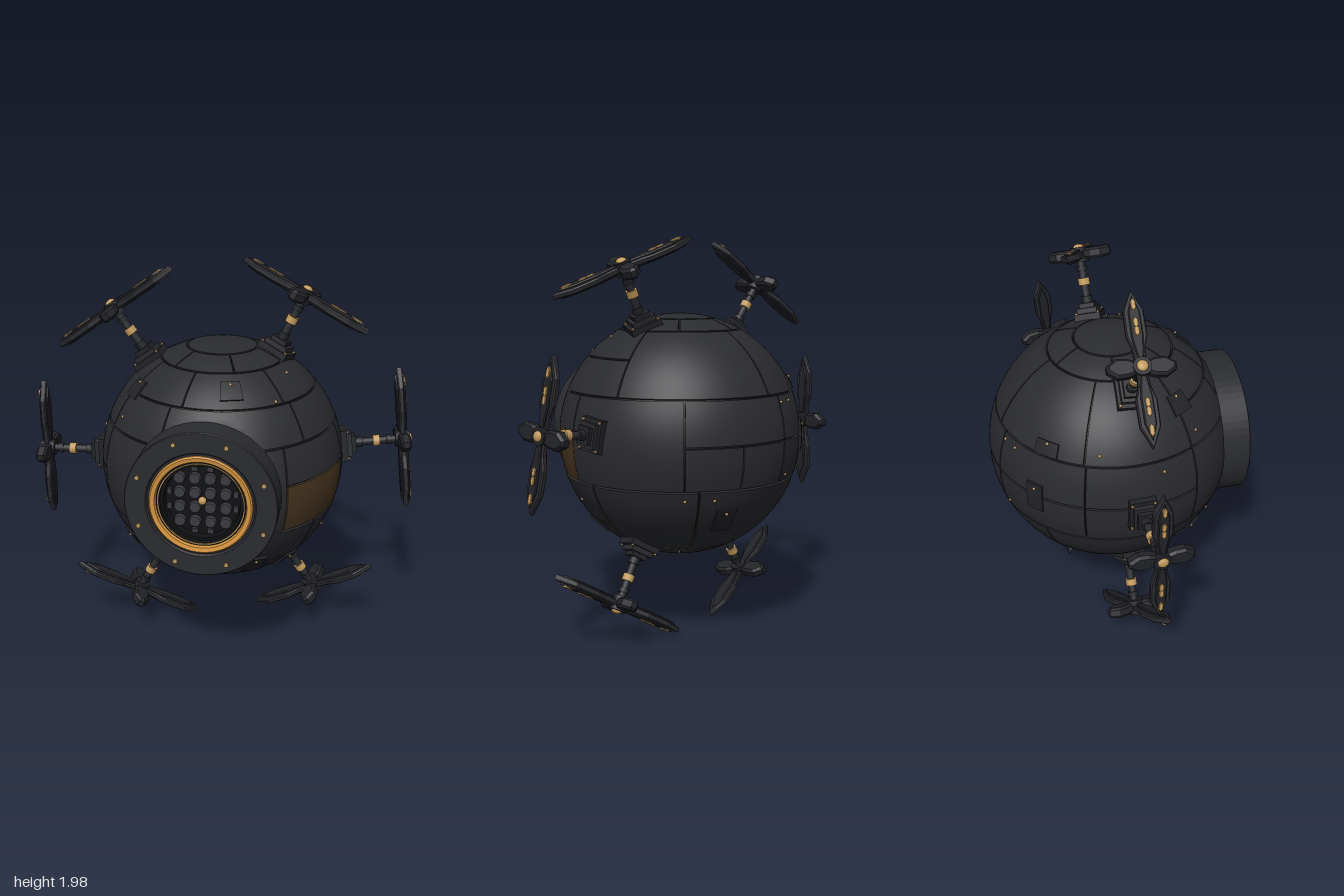
import * as THREE from 'three';

const mat = (color, extra = {}) => new THREE.MeshStandardMaterial({ color, ...extra });
const DARK = mat(0x2a2b2f), EDGE = mat(0x222327), BLACK = mat(0x101113);
const GOLD = mat(0xc09a5c), RING = mat(0xd6953f), AMBER = mat(0x46351f), LENS = mat(0x3a3b3e);
const CHIP = mat(0xc09a5c, { flatShading: true });
const R = 0.615, CY = 1.005, CZ = -0.015, GAP = 0.008;

function add(parent, name, geo, material, x = 0, y = 0, z = 0) {
  const m = new THREE.Mesh(geo, material);
  m.name = name;
  m.position.set(x, y, z);
  parent.add(m);
  return m;
}

// Point on the hull from longitude (0 = front, + towards +x) and latitude
function onHull(lon, lat, r) {
  return new THREE.Vector3(
    r * Math.cos(lat) * Math.sin(lon), r * Math.sin(lat), r * Math.cos(lat) * Math.cos(lon));
}

// A box bent onto the sphere: a curved plate with walls
function plate(lon0, lon1, lat0, lat1, r0, r1) {
  const nx = Math.max(2, Math.ceil((lon1 - lon0) / 0.07));
  const ny = Math.max(2, Math.ceil((lat1 - lat0) / 0.07));
  const g = new THREE.BoxGeometry(1, 1, 1, nx, ny, 1);
  const p = g.attributes.position;
  for (let i = 0; i < p.count; i++) {
    const v = onHull(
      THREE.MathUtils.lerp(lon0, lon1, p.getX(i) + 0.5),
      THREE.MathUtils.lerp(lat0, lat1, p.getY(i) + 0.5),
      THREE.MathUtils.lerp(r0, r1, p.getZ(i) + 0.5));
    p.setXYZ(i, v.x, v.y, Math.min(v.z, 0.51)); // flat seat behind the eye housing
  }
  g.computeVertexNormals();
  return g;
}

function buildHull() {
  const hull = new THREE.Group();
  hull.name = 'hull';
  hull.position.set(0, CY, CZ);

  const core = new THREE.SphereGeometry(R - 0.016, 64, 40);
  const p = core.attributes.position;
  for (let i = 0; i < p.count; i++) p.setZ(i, Math.min(p.getZ(i), 0.5));
  add(hull, 'innerCore', core, BLACK);

  // Bands of plating: [lat0, lat1, longitudes of the seams in degrees]
  const bands = [
    [1.055, 1.282, [-160, -100, -40, 20, 80, 140, 200]],
    [0.72, 1.055, [-60, -15, 48, 110]],
    [0.392, 0.72, [-60, -22, 52, 110]],
    [0.392, 1.055, [110, 189, 245, 300]],
    [-0.322, 0.392, [-60, 0, 39]],
    [0.085, 0.392, [39, 84]],
    [-0.322, 0.392, [84, 143]],
    [0.03, 0.392, [143, 196, 246, 300]],
    [-0.322, 0.03, [143, 170, 196, 246, 300]],
    [-0.72, -0.322, [-70, -5, 60, 95]],
    [-1.053, -0.72, [-70, -2, 40, 95]],
    [-1.053, -0.322, [95, 150, 225, 290]],
    [-1.282, -1.053, [-150, -75, 0, 70, 140, 210]],
  ];
  const rad = THREE.MathUtils.degToRad;
  for (const [lat0, lat1, seams] of bands) {
    const gap = 0.006 / Math.cos((lat0 + lat1) / 2);
    for (let i = 0; i + 1 < seams.length; i++) {
      add(hull, 'hullPanel', plate(rad(seams[i]) + gap, rad(seams[i + 1]) - gap,
        lat0 + GAP, lat1 - GAP, R - 0.025, R), DARK);
    }
  }
  add(hull, 'topCap', plate(0, Math.PI * 2, 1.282 + GAP, Math.PI / 2, R - 0.025, R), DARK);
  add(hull, 'bottomCap', plate(0, Math.PI * 2, -Math.PI / 2, -1.282 - GAP, R - 0.025, R), DARK);
  add(hull, 'amberWindow', plate(0.69, 1.46, -0.31, 0.077, R - 0.025, R - 0.002), AMBER);

  // Small cover plates with a stud: [lon, lat, half width, half height]
  const covers = [
    [0.26, 0.88, 0.05, 0.05], [0.5, -0.72, 0.05, 0.07], [1.02, -0.83, 0.04, 0.06],
    [3.93, 0.46, 0.06, 0.035], [3.87, 0.02, 0.045, 0.075], [2.88, -0.6, 0.05, 0.07],
    [-1.0, 0.75, 0.05, 0.05], [-0.9, -0.62, 0.05, 0.06],
  ];
  const stud = new THREE.SphereGeometry(0.008, 8, 6);
  const addStud = (lon, lat, r) =>
    add(hull, 'stud', stud, GOLD).position.copy(onHull(lon, lat, r));
  for (const [lon, lat, w, h] of covers) {
    const a = w / R / Math.cos(lat), b = h / R;
    add(hull, 'coverPlate', plate(lon - a, lon + a, lat - b, lat + b, R - 0.01, R + 0.01), EDGE);
    addStud(lon, lat + b * 0.65, R + 0.01);
  }
  const studs = [[-0.95, 0.5], [-0.75, -0.42], [1.2, 0.95], [0.75, 0.75], [3.45, 0.33], [3.6, 0.33],
    [4.4, 0.48], [2.5, -0.4], [2.75, -0.4], [3.5, -0.26], [-1.35, 0.3], [1.35, -0.5]];
  for (const [lon, lat] of studs) addStud(lon, lat, R);
  return hull;
}

// Round housing on the front with a gold ring and a grid of lenses
function buildEye() {
  const eye = new THREE.Group();
  eye.name = 'eye';
  eye.position.set(0, CY, 0);
  const turned = (name, pts, material) => {
    const g = new THREE.LatheGeometry(pts.map(q => new THREE.Vector2(q[0], q[1])), 64);
    g.rotateX(Math.PI / 2);
    const flat = g.toNonIndexed();
    flat.computeVertexNormals();
    add(eye, name, flat, material);
  };
  turned('housing', [[0.362, 0.46], [0.362, 0.618], [0.358, 0.622], [0.262, 0.622],
    [0.255, 0.612], [0.242, 0.612]], DARK);
  turned('goldRing', [[0.245, 0.6], [0.245, 0.62], [0.238, 0.626], [0.218, 0.622], [0.212, 0.6]], RING);
  turned('innerWall', [[0.213, 0.606], [0.2, 0.606], [0.197, 0.585], [0.183, 0.585],
    [0.178, 0.55], [0, 0.55]], BLACK);
  turned('innerTrim', [[0.206, 0.604], [0.206, 0.61], [0.201, 0.61], [0.201, 0.604]], GOLD);

  const lens = new THREE.CylinderGeometry(0.026, 0.03, 0.02, 14).rotateX(Math.PI / 2);
  const small = new THREE.BoxGeometry(0.03, 0.022, 0.014);
  for (let i = 0; i < 4; i++) {
    for (let j = 0; j < 4; j++) {
      add(eye, 'lens', lens, LENS, (i - 1.5) * 0.073, (j - 1.5) * 0.073, 0.558);
    }
  }
  for (const s of [-1, 1]) {
    for (const x of [-0.037, 0.037]) {
      add(eye, 'smallLens', small, LENS, x, s * 0.158, 0.556);
      add(eye, 'smallLens', small, LENS, s * 0.158, x, 0.556).rotation.z = Math.PI / 2;
    }
  }
  add(eye, 'centreStud', new THREE.SphereGeometry(0.02, 16, 10), GOLD, 0, 0, 0.565);

  const bolt = new THREE.CylinderGeometry(0.011, 0.011, 0.014, 10).rotateX(Math.PI / 2);
  for (let i = 0; i < 8; i++) {
    const a = (i + 0.5) * Math.PI / 4;
    add(eye, 'housingBolt', bolt, GOLD, 0.32 * Math.cos(a), 0.32 * Math.sin(a), 0.624);
  }
  return eye;
}

// Flat outline in x and z, thickened upwards from y0, mirrored about x
function slab(half, y0, height, bevel) {
  const pts = [...half, ...half.slice().reverse().map(([x, z]) => [x, -z])];
  const shape = new THREE.Shape(pts.map(q => new THREE.Vector2(q[0], q[1])));
  const g = new THREE.ExtrudeGeometry(shape, { depth: height - 2 * bevel, bevelEnabled: true,
    bevelThickness: bevel, bevelSize: bevel, bevelOffset: -bevel, bevelSegments: 1 });
  return g.rotateX(-Math.PI / 2).translate(0, y0 + bevel, 0);
}

// Mount, arm and four-bladed rotor; local y points away from the hull
function buildThruster(axis, bladeDir) {
  const t = new THREE.Group();
  t.name = 'thruster';
  const y = new THREE.Vector3(...axis).normalize();
  const x = new THREE.Vector3(...bladeDir);
  x.addScaledVector(y, -x.dot(y)).normalize();
  t.setRotationFromMatrix(new THREE.Matrix4().makeBasis(x, y, x.clone().cross(y)));
  t.position.set(0, CY, CZ);

  // Stepped mount
  add(t, 'mountBase', new THREE.BoxGeometry(0.16, 0.05, 0.13), EDGE, 0, 0.615, 0);
  add(t, 'mountStep', new THREE.BoxGeometry(0.12, 0.03, 0.1), DARK, 0, 0.65, 0);
  add(t, 'mountTop', new THREE.BoxGeometry(0.085, 0.025, 0.075), EDGE, 0, 0.675, 0);
  for (const sx of [-1, 1]) for (const sz of [-1, 1]) {
    add(t, 'mountBolt', new THREE.CylinderGeometry(0.007, 0.007, 0.01, 8), GOLD, sx * 0.068, 0.642, sz * 0.055);
  }
  // Arm
  const rod = (name, r, y0, y1, material) =>
    add(t, name, new THREE.CylinderGeometry(r, r, y1 - y0, 16), material, 0, (y0 + y1) / 2, 0);
  rod('arm', 0.019, 0.67, 0.92, DARK);
  rod('armCollar', 0.027, 0.685, 0.72, EDGE);
  rod('goldCollar', 0.029, 0.775, 0.81, GOLD);
  rod('upperCollar', 0.026, 0.845, 0.87, EDGE);
  // Hub
  rod('hub', 0.042, 0.89, 0.962, EDGE);
  const dome = new THREE.SphereGeometry(0.026, 16, 6, 0, Math.PI * 2, 0, Math.PI / 2).scale(1, 0.6, 1);
  add(t, 'hubDome', dome, GOLD, 0, 0.962, 0);

  const long = slab([[0.02, 0.024], [0.09, 0.03], [0.15, 0.048], [0.27, 0.046], [0.368, 0]], 0.914, 0.03, 0.006);
  const ridge = slab([[0.04, 0.013], [0.14, 0.027], [0.26, 0.026], [0.335, 0]], 0.904, 0.05, 0.005);
  const short = slab([[0.02, 0.028], [0.06, 0.042], [0.11, 0.045], [0.155, 0.015]], 0.9, 0.054, 0.012);
  const chip = (cx, len) =>
    slab([[cx - len, 0], [cx - len * 0.5, 0.011], [cx + len * 0.5, 0.011], [cx + len, 0]], 0.948, 0.011, 0.002);
  for (let k = 0; k < 2; k++) {
    const blade = new THREE.Group();
    blade.name = 'blade';
    blade.rotation.y = k * Math.PI;
    add(blade, 'longBlade', long, DARK);
    add(blade, 'bladeRidge', ridge, EDGE);
    for (const [cx, len] of [[0.165, 0.025], [0.205, 0.025], [0.29, 0.03]]) {
      add(blade, 'goldInlay', chip(cx, len), CHIP);
    }
    add(blade, 'shortBlade', short, EDGE).rotation.y = Math.PI / 2;
    t.add(blade);
  }
  return t;
}

export function createModel() {
  const model = new THREE.Group();
  model.name = 'sphericalDrone';
  model.add(buildHull(), buildEye());
  // Arm axis and long blade direction of each thruster
  const thrusters = [
    [[-0.54, 0.75, 0.015], [0.6, 0.43, 0.04]],
    [[0.40, 0.85, -0.06], [0.64, -0.29, 0.25]],
    [[0.92, 0.09, -0.155], [0.095, -0.72, 0.08]],
    [[-0.93, -0.012, 0.02], [0.02, -0.69, 0]],
    [[-0.46, -0.815, 0.03], [-0.62, 0.36, 0.21]],
    [[0.48, -0.785, -0.12], [0.63, 0.38, 0.16]],
  ];
  for (const [axis, dir] of thrusters) model.add(buildThruster(axis, dir));
  return model;
}
